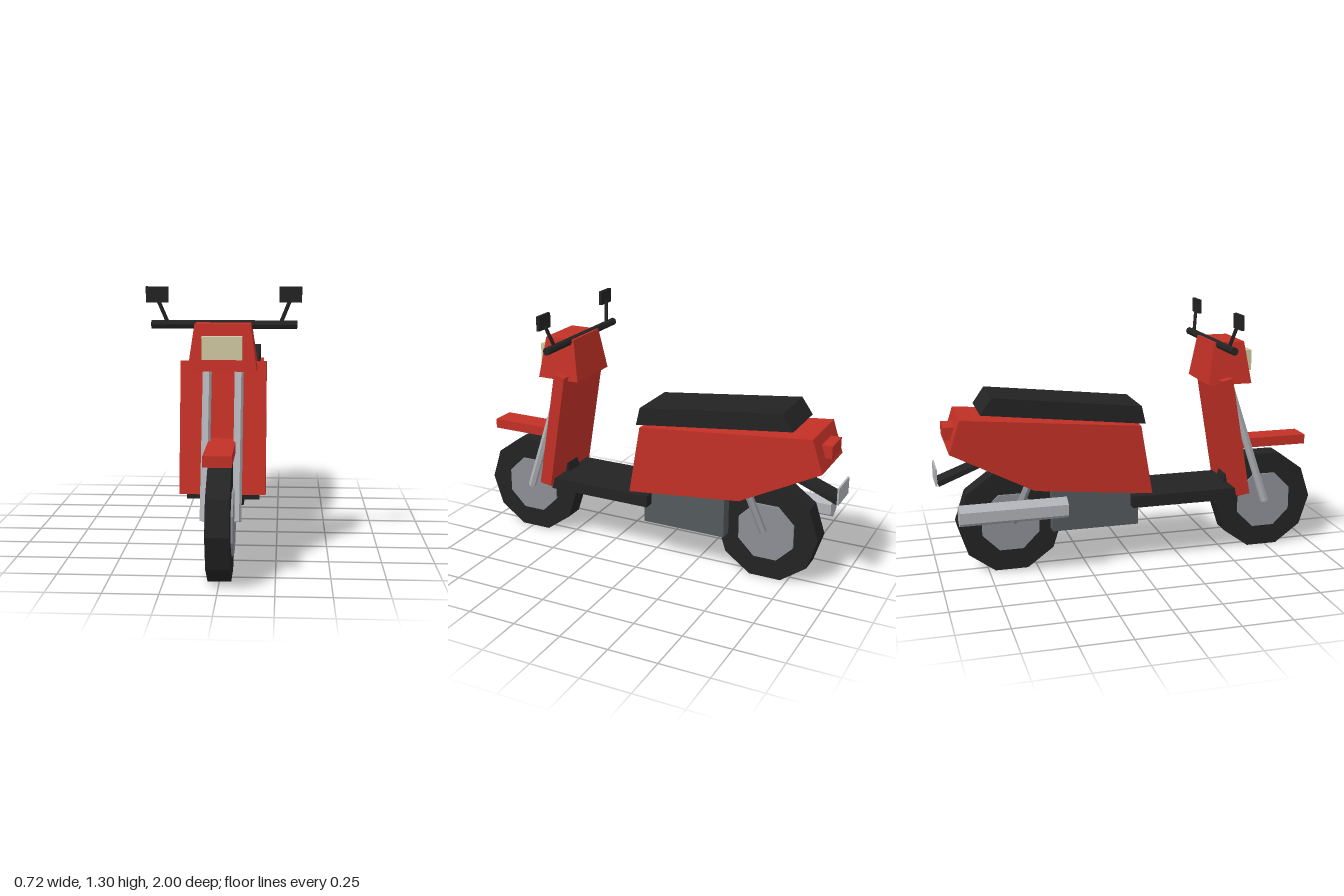
import * as THREE from 'three';

const mat = (name, color) => {
  const m = new THREE.MeshStandardMaterial({ color });
  m.name = name;
  return m;
};

export function createModel() {
  const red = mat('red paint', 0xc23026);
  const black = mat('black rubber', 0x232323);
  const metal = mat('hub grey', 0x8c8f95);
  const chrome = mat('light metal', 0xb0b2b7);
  const engineGrey = mat('engine grey', 0x54595c);
  const lamp = mat('lamp cream', 0xd0c8a2);

  const model = new THREE.Group();
  model.name = 'scooter';

  // Adds a faceted mesh
  const add = (name, geometry, material) => {
    const g = geometry.index ? geometry.toNonIndexed() : geometry;
    g.computeVertexNormals();
    const mesh = new THREE.Mesh(g, material);
    mesh.name = name;
    model.add(mesh);
    return mesh;
  };
  // Box given by its half width and its y and z ranges
  const box = (name, material, halfX, y0, y1, z0, z1, x = 0) => add(name,
    new THREE.BoxGeometry(halfX * 2, y1 - y0, z1 - z0).translate(x, (y0 + y1) / 2, (z0 + z1) / 2), material);
  // Side profile of [z, y] points, extruded across x
  const slab = (name, material, halfX, points) => {
    const shape = new THREE.Shape(points.map(([z, y]) => new THREE.Vector2(z, y)));
    const g = new THREE.ExtrudeGeometry(shape, { depth: halfX * 2, bevelEnabled: false });
    return add(name, g.translate(0, 0, -halfX).rotateY(-Math.PI / 2), material);
  };
  // Straight rod between two points
  const rod = (name, material, a, b, radius, sides = 6) => {
    const from = new THREE.Vector3(...a), to = new THREE.Vector3(...b);
    const dir = to.clone().sub(from);
    const g = new THREE.CylinderGeometry(radius, radius, dir.length(), sides).rotateY(Math.PI / 2);
    g.applyQuaternion(new THREE.Quaternion().setFromUnitVectors(new THREE.Vector3(0, 1, 0), dir.normalize()));
    const mid = from.add(to).multiplyScalar(0.5);
    return add(name, g.translate(mid.x, mid.y, mid.z), material);
  };

  // Wheels: ten-sided tyre with an eight-sided hub
  for (const [name, z] of [['front', 0.732], ['rear', -0.634]]) {
    add(name + 'Tyre', new THREE.CylinderGeometry(0.268, 0.268, 0.106, 10)
      .rotateZ(Math.PI / 2).translate(0, 0.255, z), black);
    add(name + 'Hub', new THREE.CylinderGeometry(0.157, 0.157, 0.126, 8)
      .rotateY(Math.PI / 8).rotateZ(Math.PI / 2).translate(0, 0.255, z), metal);
  }

  // Fork, rear struts and mirrors, one per side
  for (const s of [-1, 1]) {
    rod('forkLeg', chrome, [s * 0.074, 0.255, 0.732], [s * 0.074, 0.95, 0.5], 0.021);
    rod('rearStrut', metal, [s * 0.08, 0.26, -0.627], [s * 0.08, 0.48, -0.53], 0.02);
    rod('mirrorStem', black, [s * 0.26, 1.12, 0.435], [s * 0.308, 1.24, 0.46], 0.009);
    box('mirror', black, 0.052, 1.225, 1.298, 0.459, 0.475, s * 0.309);
  }

  // Front end
  box('frontFender', red, 0.063, 0.552, 0.602, 0.52, 0.957);
  slab('legShield', red, 0.2, [[0.594, 0.345], [0.53, 0.335], [0.428, 0.945], [0.487, 0.957]]);
  const cowl = new THREE.BoxGeometry(0.316, 0.212, 0.23);
  const p = cowl.attributes.position;
  for (let i = 0; i < p.count; i++) {
    if (p.getY(i) > 0) p.setXYZ(i, p.getX(i) * 0.81, p.getY(i), p.getZ(i) * 0.7);
  }
  add('headCowl', cowl.translate(0, 1.026, 0.489), red);
  box('headlight', lamp, 0.092, 0.975, 1.08, 0.56, 0.627);
  rod('handlebar', black, [-0.34, 1.121, 0.437], [0.34, 1.121, 0.437], 0.02, 8);

  // Floor, engine and exhaust
  box('floorboard', black, 0.17, 0.31, 0.37, -0.025, 0.54);
  box('engine', engineGrey, 0.118, 0.205, 0.42, -0.43, 0.016);
  add('exhaust', new THREE.CylinderGeometry(0.055, 0.055, 0.535, 6)
    .rotateX(Math.PI / 2).translate(-0.18, 0.35, -0.637), chrome);

  // Rear body and seat
  slab('rearBody', red, 0.16,
    [[0.02, 0.735], [0.08, 0.377], [-0.524, 0.44], [-0.936, 0.655], [-0.882, 0.82]]);
  slab('seat', black, 0.143, [[0.027, 0.832], [0.048, 0.74], [-0.78, 0.835], [-0.722, 0.917]]);

  // Tail light and plate holder
  box('tailLight', red, 0.072, 0.705, 0.768, -0.952, -0.88);
  slab('plateBracket', black, 0.052, [[-0.74, 0.588], [-0.75, 0.56], [-0.982, 0.467], [-0.99, 0.493]]);
  box('plate', chrome, 0.083, 0.48, 0.567, -1, -0.991);

  return model;
}
